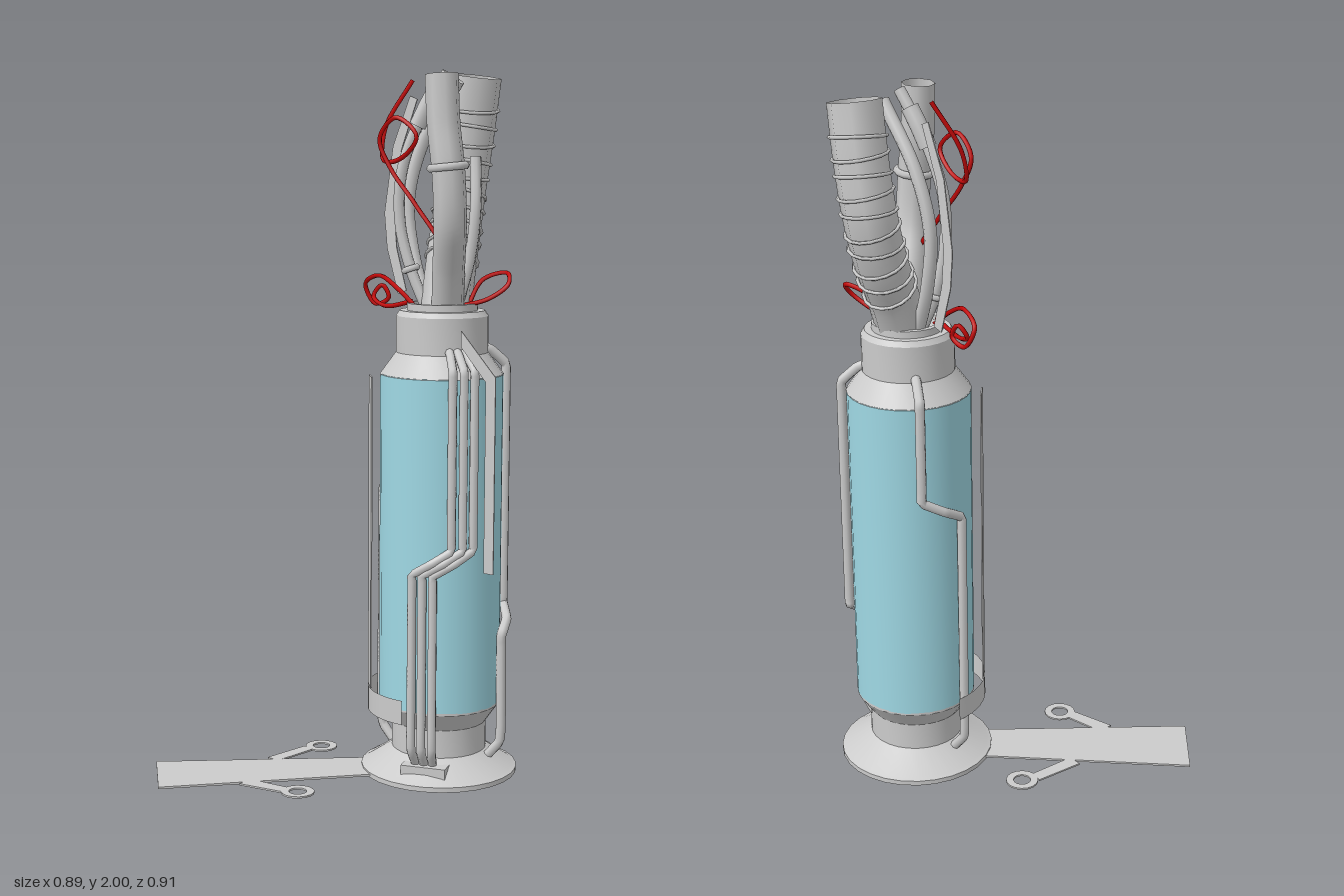
import * as THREE from 'three';
import { toCreasedNormals } from 'three/addons/utils/BufferGeometryUtils.js';

const CX = 0.197, CZ = -0.207; // body axis
const grey = new THREE.MeshStandardMaterial({ color: 0xcccccc });
const greyOpen = new THREE.MeshStandardMaterial({ color: 0xcccccc, side: THREE.DoubleSide });
const blue = new THREE.MeshStandardMaterial({ color: 0x9fd8e4 });
const red = new THREE.MeshStandardMaterial({ color: 0xc40808 });
const V = (p) => new THREE.Vector3(...p);

export function createModel() {
  const model = new THREE.Group();

  function add(name, geometry, material = grey) {
    const mesh = new THREE.Mesh(geometry, material);
    mesh.name = name;
    model.add(mesh);
    return mesh;
  }

  // Turned part around the body axis, from [radius, y] pairs
  function turned(name, profile, material) {
    const g = new THREE.LatheGeometry(profile.map(([r, y]) => new THREE.Vector2(r, y)), 28);
    add(name, toCreasedNormals(g, 0.5), material).position.set(CX, 0, CZ);
  }

  // Tube along a soft curve
  function hose(name, points, radius, material = greyOpen, segments = 40, sides = 8) {
    const curve = new THREE.CatmullRomCurve3(points.map(V));
    add(name, new THREE.TubeGeometry(curve, segments, radius, sides), material);
    return curve;
  }

  // Ring around a curve at parameter t
  function ring(name, curve, t, radius, thickness) {
    const m = add(name, new THREE.TorusGeometry(radius, thickness, 5, 16));
    m.position.copy(curve.getPointAt(t));
    m.quaternion.setFromUnitVectors(new THREE.Vector3(0, 0, 1), curve.getTangentAt(t));
    return m;
  }

  // Pipe hugging the body: shifts from angle a1 to a2 at height yBend
  function bodyPipe(name, a1, a2, yBend, radius, yEnd) {
    const am = (a1 + a2) / 2;
    const pts = [
      [0.115, a1, 1.23], [0.14, a1, 1.222], [0.187, a1, 1.18], [0.188, a1, 1.14],
      [0.188, a1, yBend + 0.06], [0.188, a1, yBend + 0.035], [0.192, am, yBend],
      [0.188, a2, yBend - 0.035], [0.188, a2, yBend - 0.06],
      [0.19, a2, 0.15], [0.186, a2, 0.1], [0.145, a2, yEnd],
    ].map(([r, a, y]) => V([CX + r * Math.sin(a), y, CZ + r * Math.cos(a)]));
    const curve = new THREE.CatmullRomCurve3(pts, false, 'catmullrom', 0.15);
    add(name, new THREE.TubeGeometry(curve, 90, radius, 8), greyOpen);
  }

  // Flat shape from 2D points, extruded thinly along z
  function flat(points, depth, holes = []) {
    const shape = new THREE.Shape(points.map(([x, y]) => new THREE.Vector2(x, y)));
    shape.holes.push(...holes);
    return new THREE.ExtrudeGeometry(shape, { depth, bevelEnabled: false });
  }

  // Canister body
  turned('foot', [[0, 0], [0.225, 0], [0.225, 0.014], [0.212, 0.02], [0.136, 0.07],
    [0.136, 0.15], [0.174, 0.205], [0.174, 0.212], [0, 0.212]]);
  turned('tank', [[0.174, 0.21], [0.174, 1.157]], blue);
  turned('collar', [[0, 1.155], [0.175, 1.155], [0.13, 1.217], [0.13, 1.32], [0.12, 1.335],
    [0.1, 1.335], [0.1, 1.355], [0.085, 1.355], [0.085, 1.34], [0, 1.34]]);

  // Ground plate with two ringed arms
  const plateY = 0.006;
  const layFlat = (name, geometry) => {
    geometry.rotateX(Math.PI / 2); // shape y becomes +z
    add(name, geometry).position.y = plateY + 0.004;
  };
  layFlat('groundPlate', flat([[-0.45, 0.306], [-0.29, 0.458], [0.107, -0.007], [0, -0.11]], 0.006));
  layFlat('plateArm', flat([[-0.222, 0.071], [-0.18, 0.074], [-0.168, -0.068], [-0.205, -0.076]], 0.005));
  layFlat('plateArm', flat([[-0.136, 0.245], [-0.133, 0.292], [0.001, 0.265], [-0.011, 0.228]], 0.005));
  for (const [x, z] of [[-0.17, -0.113], [0.033, 0.233]]) {
    const hole = new THREE.Path().absarc(x, z, 0.025, 0, Math.PI * 2);
    const rim = Array.from({ length: 16 }, (_, i) => {
      const a = i / 16 * Math.PI * 2;
      return [x + 0.047 * Math.cos(a), z + 0.047 * Math.sin(a)];
    });
    layFlat('plateRing', flat(rim, 0.005, [hole]));
  }

  // Pipes along the tank
  for (let i = 0; i < 3; i++) {
    bodyPipe('frontPipe', 0.79 + i * 0.17, 0.2 + i * 0.16, 0.645, 0.0125, 0.04);
  }
  bodyPipe('rearPipe', 2.45, 1.83, 0.45, 0.014, 0.05);
  bodyPipe('sidePipe', -2.1, -1.42, 0.85, 0.014, 0.05);

  // Clamp where the front pipes end
  const clamp = add('pipeClamp', new THREE.BoxGeometry(0.13, 0.035, 0.06));
  clamp.position.set(CX + 0.06, 0.04, CZ + 0.145);
  clamp.rotation.y = 0.35;

  // Flat strips and curved bracket beside the tank
  const strip = add('frontStrip', new THREE.BoxGeometry(0.06, 0.9, 0.004));
  strip.position.set(CX - 0.143, 0.7, CZ + 0.143);
  strip.rotation.y = -Math.PI / 4;
  const arc = new THREE.CylinderGeometry(0.207, 0.207, 0.07, 14, 1, true, -1.6, 1.7);
  add('curvedBracket', arc, greyOpen).position.set(CX, 0.215, CZ);
  add('sideStrip', flat([[0.33, 1.29], [0.445, 1.17], [0.445, 0.625], [0.413, 0.625],
    [0.413, 1.155], [0.33, 1.245]], 0.003)).position.z = -0.115;
  add('upperStrip', flat([[0.06, 1.93], [0, 1.79], [-0.03, 1.6], [-0.02, 1.5], [0.02, 1.37],
    [0.05, 1.38], [0.015, 1.5], [0.005, 1.6], [0.03, 1.78], [0.085, 1.92]], 0.003)).position.z = -0.235;

  // Large ribbed hose
  const big = hose('ribbedHose', [[0.2, 1.32, -0.22], [0.18, 1.43, -0.265], [0.155, 1.55, -0.325],
    [0.148, 1.68, -0.362], [0.165, 1.82, -0.372], [0.19, 1.985, -0.37]], 0.073);
  for (let i = 0; i < 10; i++) {
    const rib = ring('hoseRib', big, 0.24 + i * 0.07, 0.075, 0.005);
    rib.rotateX(0.08 * (i % 2 ? 1 : -1));
  }

  // Front hose with its band
  const front = hose('frontHose', [[0.22, 1.32, -0.2], [0.255, 1.45, -0.155], [0.295, 1.58, -0.105],
    [0.3, 1.72, -0.088], [0.283, 1.85, -0.087], [0.275, 1.98, -0.088]], 0.046);
  ring('hoseBand', front, 0.64, 0.049, 0.011);

  // Slim hoses
  const slim = hose('slimHose', [[0.15, 1.33, -0.2], [0.1, 1.45, -0.185], [0.07, 1.58, -0.175],
    [0.08, 1.72, -0.17], [0.13, 1.86, -0.185], [0.205, 1.99, -0.21]], 0.016);
  ring('slimBand', slim, 0.18, 0.02, 0.009);
  hose('slimHoseSleeve', [[0.125, 1.845, -0.182], [0.15, 1.9, -0.192], [0.175, 1.945, -0.2]], 0.024, greyOpen, 6);
  hose('slimHose', [[0.14, 1.33, -0.22], [0.075, 1.48, -0.235], [0.05, 1.64, -0.242],
    [0.09, 1.8, -0.255], [0.2, 1.97, -0.27]], 0.018);
  hose('slimHose', [[0.24, 1.33, -0.21], [0.28, 1.48, -0.22], [0.298, 1.62, -0.22],
    [0.285, 1.76, -0.235]], 0.016);

  // Loose looping wires
  const wires = [
    [[0.24, 1.33, -0.17], [0.265, 1.5, -0.12], [0.18, 1.63, -0.1], [0.1, 1.73, -0.09],
      [0.072, 1.81, -0.078], [0.13, 1.866, -0.075], [0.198, 1.815, -0.08], [0.14, 1.757, -0.09],
      [0.07, 1.75, -0.1], [0.052, 1.84, -0.13], [0.1, 1.97, -0.19]],
    [[0.17, 1.33, -0.14], [0.09, 1.39, -0.145], [0, 1.425, -0.17], [-0.07, 1.395, -0.195],
      [-0.045, 1.34, -0.21], [0, 1.36, -0.215], [-0.02, 1.395, -0.21], [-0.04, 1.365, -0.195],
      [0.02, 1.34, -0.17], [0.14, 1.36, -0.15]],
    [[0.26, 1.33, -0.23], [0.29, 1.42, -0.27], [0.355, 1.44, -0.295], [0.375, 1.41, -0.27],
      [0.33, 1.37, -0.24], [0.24, 1.345, -0.22]],
  ];
  for (const points of wires) hose('looseWire', points, 0.0065, red, 90, 6);

  return model;
}
